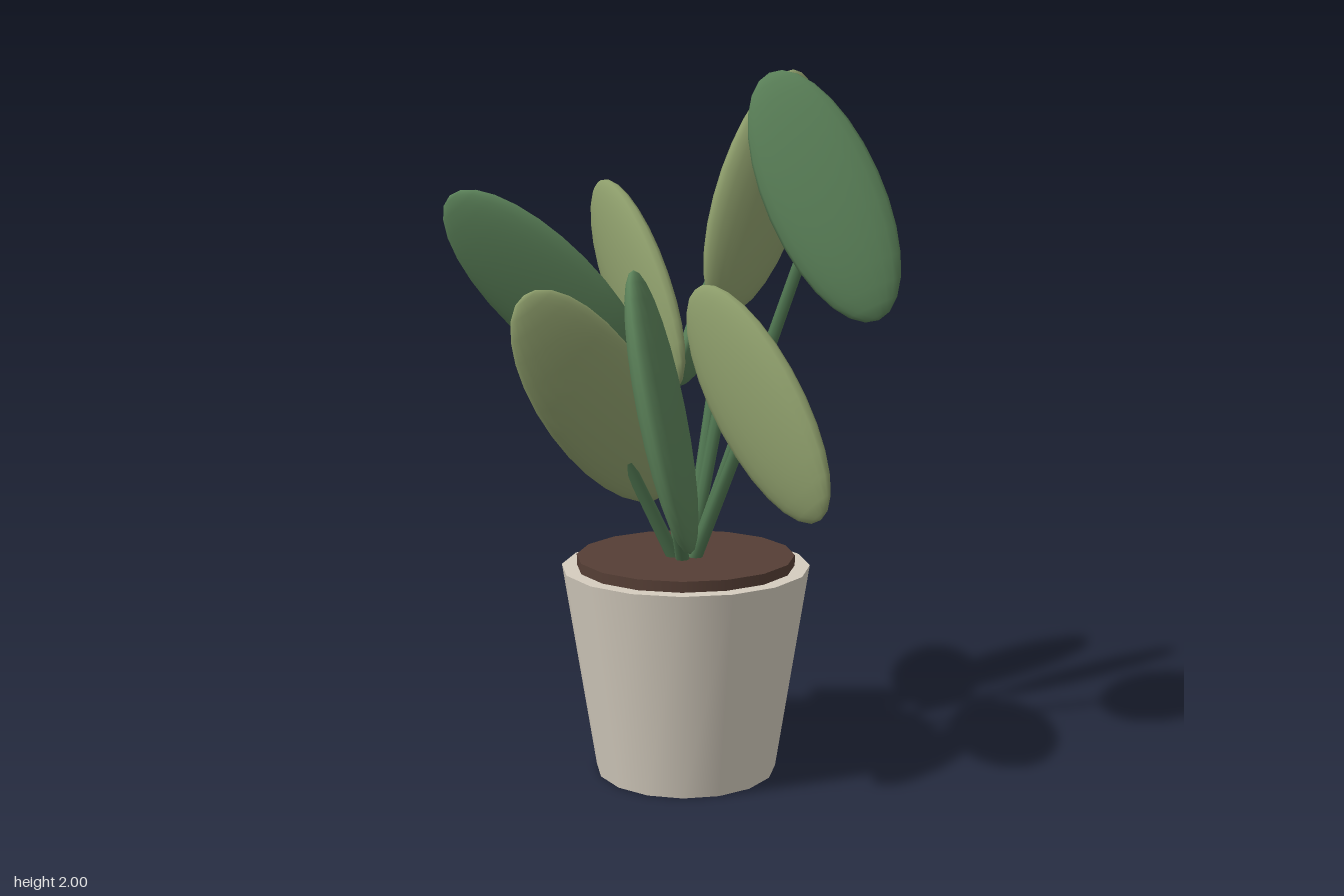
import * as THREE from 'three';

const material = (color) => new THREE.MeshStandardMaterial({ color, roughness: 0.8 });

export function createModel() {
  const model = new THREE.Group();
  model.name = 'pottedPlant';
  const potMat = material(0xd4ccbe);
  const soilMat = material(0x553e35);
  const darkMat = material(0x5a8058);
  const lightMat = material(0x8c9c6a);
  const stemMat = material(0x4f7550);

  const add = (name, geometry, mat, parent = model) => {
    const mesh = new THREE.Mesh(geometry, mat);
    mesh.name = name;
    parent.add(mesh);
    return mesh;
  };

  // Tapered pot with the soil disc standing slightly proud of the rim
  const cx = -0.005, cz = 0.045;
  add('pot', new THREE.CylinderGeometry(0.355, 0.26, 0.6, 16), potMat).position.set(cx, 0.3, cz);
  add('soil', new THREE.CylinderGeometry(0.312, 0.312, 0.06, 16), soilMat).position.set(cx, 0.6, cz);

  // Leaves: centre, direction of the long axis, direction the flat face points, light or dark
  const leaves = [
    { at: [0.32, 1.65, -0.163], along: [-0.471, 0.878, 0.083], face: [0.543, 0.215, 0.811] },
    { at: [0.018, 1.655, -0.231], along: [0.015, 0.903, -0.429], face: [1, 0, 0.04], light: true },
    { at: [-0.185, 1.38, -0.302], along: [-0.093, 0.749, -0.663], face: [1, -0.38, -0.57] },
    { at: [-0.271, 1.39, -0.008], along: [-0.657, 0.736, -0.164], face: [-0.242, 0, 0.97], light: true },
    { at: [-0.293, 1.38, 0.309], along: [-0.349, 0.712, 0.605], face: [0.56, -0.36, 0.755] },
    { at: [-0.077, 1.097, 0.311], along: [-0.055, 0.791, 0.611], face: [1, -0.167, 0.306], light: true },
    { at: [0.23, 1.1, 0.35], along: [-0.249, 0.968, 0.035], face: [-0.79, -0.224, 0.571] },
    { at: [0.269, 1.1, 0.041], along: [-0.639, 0.769, 0], face: [0, 0, 1], light: true },
  ];
  const bladeGeo = new THREE.SphereGeometry(1, 20, 14);
  const base = new THREE.Vector3(cx, 0.55, cz);
  const up = new THREE.Vector3(0, 1, 0);

  for (const { at, along, face, light } of leaves) {
    const leaf = new THREE.Group();
    leaf.name = 'leaf';
    model.add(leaf);

    // Flattened ellipsoid blade
    const centre = new THREE.Vector3(...at);
    const v = new THREE.Vector3(...along).normalize();
    const u = new THREE.Vector3().crossVectors(v, new THREE.Vector3(...face)).normalize();
    const n = new THREE.Vector3().crossVectors(u, v);
    const blade = add('blade', bladeGeo, light ? lightMat : darkMat, leaf);
    blade.scale.set(0.16, 0.375, 0.052);
    blade.quaternion.setFromRotationMatrix(new THREE.Matrix4().makeBasis(u, v, n));
    blade.position.copy(centre);

    // Straight stem from the soil to the middle of the blade
    const run = centre.clone().sub(base);
    const stem = add('stem', new THREE.CylinderGeometry(0.016, 0.02, run.length(), 8), stemMat, leaf);
    stem.position.copy(base).addScaledVector(run, 0.5);
    stem.quaternion.setFromUnitVectors(up, run.normalize());
  }
  return model;
}
